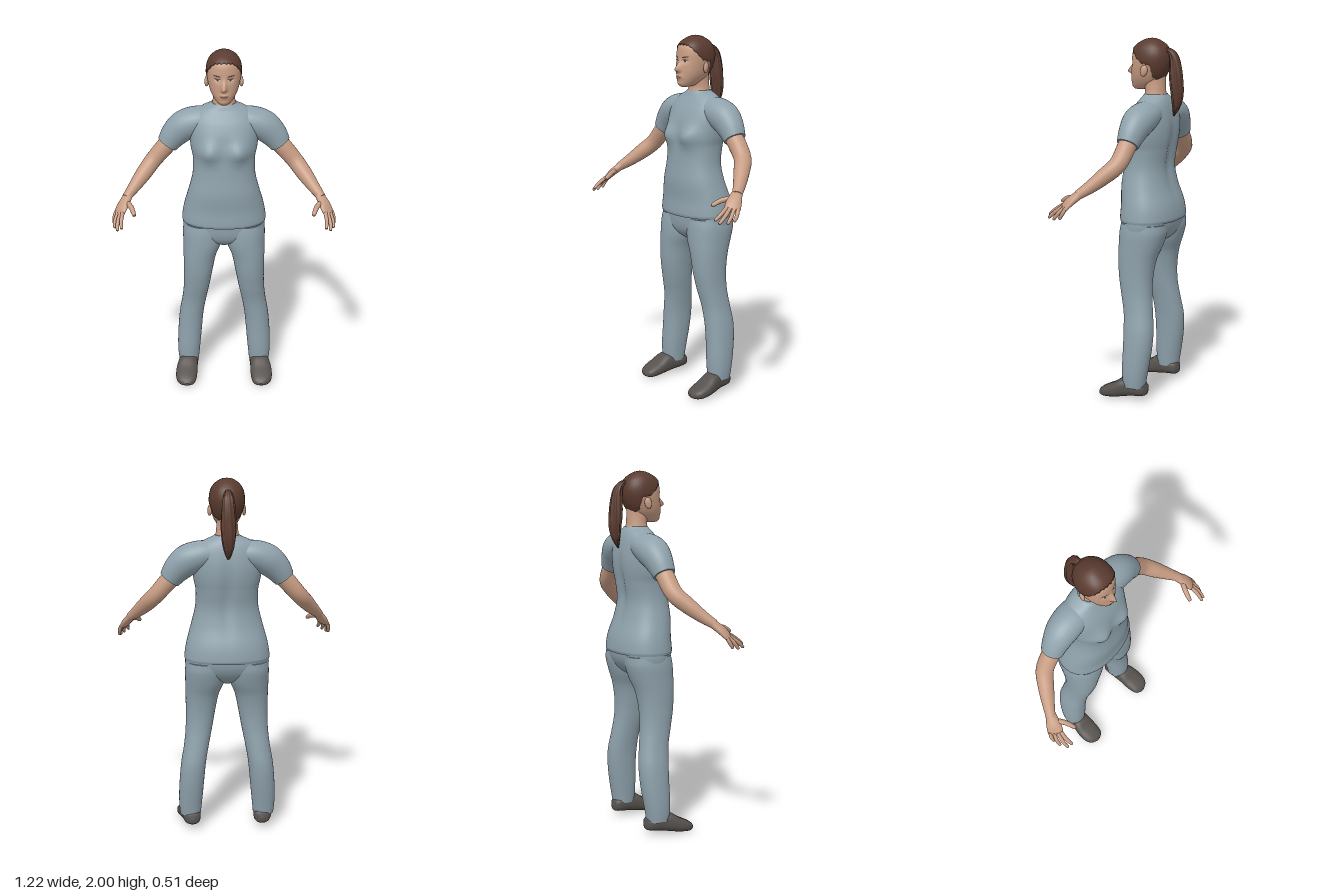
import * as THREE from 'three';

const mat = (name, color, extra = {}) => Object.assign(new THREE.MeshStandardMaterial({ color, ...extra }), { name });

// Smooth lookup in rows keyed by their first number
function at(rows, k) {
  const n = rows.length;
  let i = 0;
  while (i < n - 2 && k > rows[i + 1][0]) i++;
  const slope = (j, c) => {
    const p = rows[Math.max(0, j - 1)], q = rows[Math.min(n - 1, j + 1)];
    return (q[c] - p[c]) / (q[0] - p[0]);
  };
  const a = rows[i], b = rows[i + 1], h = b[0] - a[0];
  const t = Math.min(1, Math.max(0, (k - a[0]) / h)), t2 = t * t, t3 = t2 * t;
  return a.map((_, c) => (2 * t3 - 3 * t2 + 1) * a[c] + (t3 - 2 * t2 + t) * h * slope(i, c)
    + (3 * t2 - 2 * t3) * b[c] + (t3 - t2) * h * slope(i + 1, c));
}

// Closed rings of points joined into a skin, with optional flat end caps
function skin(rings, caps = true) {
  const nu = rings[0].length, all = rings.slice();
  if (caps) {
    const centre = r => {
      const c = r.reduce((s, p) => s.map((v, i) => v + p[i] / nu), [0, 0, 0]);
      return r.map(() => c);
    };
    const first = rings[0], last = rings[rings.length - 1];
    all.unshift(centre(first), first);
    all.push(last, centre(last));
  }
  const idx = [];
  for (let j = 0; j < all.length - 1; j++) for (let i = 0; i < nu; i++) {
    const a = j * nu + i, b = j * nu + (i + 1) % nu;
    idx.push(a, b, b + nu, a, b + nu, a + nu);
  }
  const g = new THREE.BufferGeometry();
  g.setAttribute('position', new THREE.Float32BufferAttribute(all.flat(2), 3));
  g.setIndex(idx);
  g.computeVertexNormals();
  return g;
}

const ring = (nu, fn) => Array.from({ length: nu }, (_, i) => fn(i / nu * Math.PI * 2));
const pw = (v, n) => Math.sign(v) * Math.abs(v) ** (2 / n);
const bell = (d, w) => Math.exp(-((d / w) ** 2));

// Keys sampled evenly inside each pair of rows
function keys(rows, sub) {
  const out = [];
  for (let i = 0; i < rows.length - 1; i++) for (let s = 0; s < sub; s++)
    out.push(rows[i][0] + (rows[i + 1][0] - rows[i][0]) * s / sub);
  return [...out, rows[rows.length - 1][0]];
}

// Upright loft; rows are [y, centreX, halfWidth, zFront, zBack]
function loftPoint(rows, y, a, n, bump) {
  const [, cx, hw, zf, zb] = at(rows, y);
  const x = cx + hw * pw(Math.sin(a), n);
  let z = (zf + zb) / 2 + (zf - zb) / 2 * pw(Math.cos(a), n);
  if (bump) z += bump(x, y, Math.cos(a));
  return [x, y, z];
}
const loft = (rows, n = 2.2, bump = null, nu = 48, sub = 5) =>
  skin(keys(rows, sub).map(y => ring(nu, a => loftPoint(rows, y, a, n, bump))));

// Tube through rows [x, y, z, thickness, width]; width lies along ref
function tube(rows, ref = [0, 0, 1], nu = 20, sub = 5, ridge = 0) {
  const keyed = rows.map((r, i) => [i, ...r]);
  const pos = k => new THREE.Vector3(...at(keyed, k).slice(1, 4));
  return skin(keys(keyed, sub).map(k => {
    const [, , , , r, w] = at(keyed, k), c = pos(k);
    const t = pos(Math.min(k + 0.05, rows.length - 1)).sub(pos(Math.max(k - 0.05, 0))).normalize();
    const n = new THREE.Vector3(...ref);
    n.addScaledVector(t, -n.dot(t)).normalize();
    const b = t.clone().cross(n);
    return ring(nu, a => {
      const s = 1 + ridge * Math.cos(a * 9 + k);
      return c.clone().addScaledVector(n, Math.cos(a) * w * s).addScaledVector(b, Math.sin(a) * r * s).toArray();
    });
  }));
}

function mirrored(geo) {
  const g = geo.clone().scale(-1, 1, 1), ix = g.index;
  for (let i = 0; i < ix.count; i += 3) {
    const t = ix.getX(i + 1);
    ix.setX(i + 1, ix.getX(i + 2));
    ix.setX(i + 2, t);
  }
  g.computeVertexNormals();
  return g;
}

const HEAD = [[1.722, 0, .022, .035, -.02], [1.732, 0, .038, .046, -.06], [1.76, 0, .06, .052, -.11],
  [1.79, 0, .075, .052, -.135], [1.83, 0, .086, .05, -.158], [1.87, 0, .092, .046, -.17], [1.905, 0, .092, .044, -.172],
  [1.94, 0, .084, .036, -.16], [1.967, 0, .066, .014, -.138], [1.985, 0, .042, -.018, -.108],
  [1.993, 0, .024, -.04, -.088], [1.996, 0, 0, -.063, -.065]];
// Nose, lips, chin and eye sockets
const face = (x, y, c = 1) => c <= 0 ? 0 : Math.min(1, c * 3) * (
  .034 * bell(x, .013) * bell(y - 1.815, y > 1.815 ? .035 : .012) + .008 * bell(x, .024) * bell(y - 1.776, .014)
  + .004 * bell(x, .025) * bell(y - 1.74, .012) - .007 * bell(Math.abs(x) - .035, .018) * bell(y - 1.863, .013));

// Thin oval lying on the face
function facePatch(cx, cy, w, h, lift, tilt = 0) {
  const z = (x, y) => {
    const [, , hw, zf, zb] = at(HEAD, y);
    return (zf + zb) / 2 + (zf - zb) / 2 * (1 - Math.abs(x / hw) ** 2.2) ** (1 / 2.2) + face(x, y);
  };
  return skin([1, .66, .33, 0].map(s => ring(20, a => {
    const x = cx + w * s * Math.cos(a), y = cy + h * s * Math.sin(a) + tilt * (x - cx);
    return [x, y, z(x, y) + lift];
  })), false);
}

export function createModel() {
  const root = new THREE.Group();
  const cloth = mat('blue grey cloth', 0x8fa2ac), skinM = mat('skin', 0xc79c83);
  const hairM = mat('brown hair', 0x5a3b2f, { side: THREE.DoubleSide }), shoeM = mat('dark shoe', 0x56514d);
  const white = mat('eye white', 0xc9c2bc), dark = mat('iris', 0x3a3430), lip = mat('lips', 0xa9705f);
  const add = (name, geo, m) => {
    const mesh = new THREE.Mesh(geo, m);
    mesh.name = name;
    root.add(mesh);
  };
  const pair = (name, geo, m) => {
    add('left' + name, geo, m);
    add('right' + name, mirrored(geo), m);
  };

  // Shirt with bust and a groove down the back
  add('shirt', loft([[1.008, 0, .234, .078, -.228], [1.025, 0, .237, .082, -.233], [1.1, 0, .225, .078, -.222],
    [1.2, 0, .198, .083, -.19], [1.3, 0, .174, .074, -.175], [1.4, 0, .172, .066, -.188], [1.45, 0, .182, .064, -.196],
    [1.5, 0, .188, .056, -.2], [1.55, 0, .19, .046, -.198], [1.6, 0, .186, .026, -.19], [1.64, 0, .165, .003, -.18],
    [1.67, 0, .125, -.015, -.168], [1.69, 0, .08, -.024, -.156], [1.7, 0, .066, -.03, -.15]], 2.25,
  (x, y, c) => c > 0 ? .034 * bell(Math.abs(x) - .085, .055) * bell(y - 1.455, .06)
    : .018 * bell(x, .035) * bell(y - 1.38, .17), 72), cloth);
  pair('Sleeve', tube([[.06, 1.605, -.095, .06, .075], [.14, 1.592, -.095, .078, .088], [.215, 1.563, -.093, .085, .086],
    [.27, 1.515, -.089, .076, .073], [.312, 1.458, -.084, .06, .06]], [0, 0, 1], 32), cloth);

  // Trousers
  add('hips', loft([[.87, 0, .03, .0, -.12], [.9, 0, .13, .035, -.165], [.935, 0, .215, .052, -.195],
    [.98, 0, .232, .058, -.215], [1.04, 0, .228, .06, -.222]], 2.3), cloth);
  pair('TrouserLeg', loft([[.08, .21, .059, -.005, -.13], [.13, .21, .064, 0, -.138], [.2, .207, .068, .002, -.15],
    [.3, .2, .07, .0, -.164], [.4, .19, .07, .002, -.168], [.5, .173, .07, .01, -.155], [.6, .158, .075, .032, -.142],
    [.7, .148, .083, .05, -.142], [.8, .138, .094, .058, -.158], [.88, .122, .111, .061, -.187],
    [.95, .117, .116, .058, -.207], [1, .114, .112, .05, -.208]]), cloth);

  // Shoes, rows run heel to toe: [z, centreX, halfWidth, top, bottom]
  const shoe = [[-.143, .2, .01, .065, .045], [-.133, .2, .036, .095, .032], [-.1, .203, .05, .115, .026],
    [-.05, .208, .053, .125, .02], [0, .217, .059, .12, .011], [.05, .222, .063, .088, .004], [.1, .223, .058, .063, .0],
    [.13, .22, .042, .045, .004], [.145, .218, .012, .027, .014]];
  pair('Shoe', skin(keys(shoe, 4).map(z => {
    const [, cx, hw, top, bot] = at(shoe, z);
    return ring(32, a => [cx + hw * pw(Math.cos(a), 2.5), (top + bot) / 2 + (top - bot) / 2 * pw(Math.sin(a), 2.5), z]);
  })), shoeM);

  // Arms and hands
  pair('Arm', tube([[.25, 1.52, -.088, .05, .05], [.32, 1.448, -.083, .05, .05], [.392, 1.365, -.07, .046, .048],
    [.445, 1.305, -.018, .043, .043], [.495, 1.25, .04, .033, .034], [.535, 1.21, .09, .023, .027]], [0, 0, 1], 24), skinM);
  const across = [-.04, .004, .05];
  pair('Palm', tube([[.522, 1.222, .075, .022, .027], [.537, 1.2, .1, .022, .033], [.553, 1.176, .127, .02, .041],
    [.568, 1.148, .15, .014, .042], [.574, 1.137, .158, .008, .036]], across), skinM);
  const fingers = {
    IndexFinger: [[.55, 1.155, .172], [.556, 1.126, .215], [.552, 1.1, .25]],
    MiddleFinger: [[.564, 1.15, .163], [.576, 1.115, .208], [.576, 1.086, .242]],
    RingFinger: [[.578, 1.147, .148], [.592, 1.112, .178], [.594, 1.083, .202]],
    LittleFinger: [[.588, 1.148, .13], [.599, 1.117, .146], [.6, 1.09, .163]],
    Thumb: [[.535, 1.195, .11], [.503, 1.185, .165], [.485, 1.162, .213]],
  };
  for (const [name, [a, b, c]] of Object.entries(fingers)) {
    const r = name === 'Thumb' ? .014 : .0105, tip = c.map((v, i) => v + (c[i] - b[i]) * .12);
    pair(name, tube([[...a, r, r], [...b, r, r], [...c, r * .75, r * .75], [...tip, .002, .002]], across, 12, 4), skinM);
  }

  // Neck, head and ears
  add('neck', loft([[1.63, 0, .06, -.04, -.14], [1.69, 0, .064, -.027, -.146], [1.72, 0, .06, -.03, -.143],
    [1.76, 0, .057, -.022, -.142], [1.81, 0, .057, -.02, -.142]], 2, null, 32), skinM);
  add('head', loft(HEAD, 2.2, face, 96, 7), skinM);
  pair('Ear', new THREE.SphereGeometry(1, 16, 12).scale(.011, .031, .02).rotateX(-.2).rotateY(.35).translate(.092, 1.828, -.062), skinM);

  // Face details
  pair('Eye', facePatch(.035, 1.862, .015, .006, .002), white);
  pair('Iris', facePatch(.034, 1.862, .0055, .0055, .004), dark);
  pair('Eyelid', facePatch(.035, 1.869, .017, .0022, .0035), dark);
  pair('Eyebrow', facePatch(.037, 1.885, .02, .0035, .002, .15), hairM);
  add('lips', facePatch(0, 1.776, .024, .008, .0015), lip);
  add('mouthLine', facePatch(0, 1.777, .022, .0014, .003), dark);

  // Swept-back hair cap down to the hairline, keyed by angle from the front
  const hairline = [[0, 1.95], [.6, 1.942], [1.05, 1.905], [1.45, 1.866], [1.85, 1.852], [2.2, 1.79], [3.15, 1.762]];
  add('hairCap', skin([0, .02, .08, .16, .25, .35, .45, .55, .65, .75, .84, .91, .96, 1].map((v, j) => ring(96, a => {
    const turn = Math.min(a, Math.PI * 2 - a);
    const y0 = at(hairline, turn)[1] + .003 * Math.cos(a * 24);
    const p = loftPoint(HEAD, y0 + (1.996 - y0) * Math.sin(v * Math.PI / 2), a, 2.2, null);
    const o = j === 0 ? -.004 : .005;
    return [p[0] + o * Math.sin(a) * (1 - v), p[1] + .004 * v, p[2] + o * Math.cos(a) * (1 - v)];
  })), false), hairM);

  // Ponytail
  add('ponytail', tube([[0, 1.925, -.14, .02, .024], [0, 1.93, -.172, .017, .02], [0, 1.9, -.198, .023, .03],
    [0, 1.84, -.208, .032, .036], [0, 1.77, -.213, .035, .04], [0, 1.7, -.218, .032, .036], [0, 1.64, -.213, .022, .026],
    [0, 1.585, -.2, .004, .006]], [1, 0, 0], 72, 5, .07), hairM);
  return root;
}
